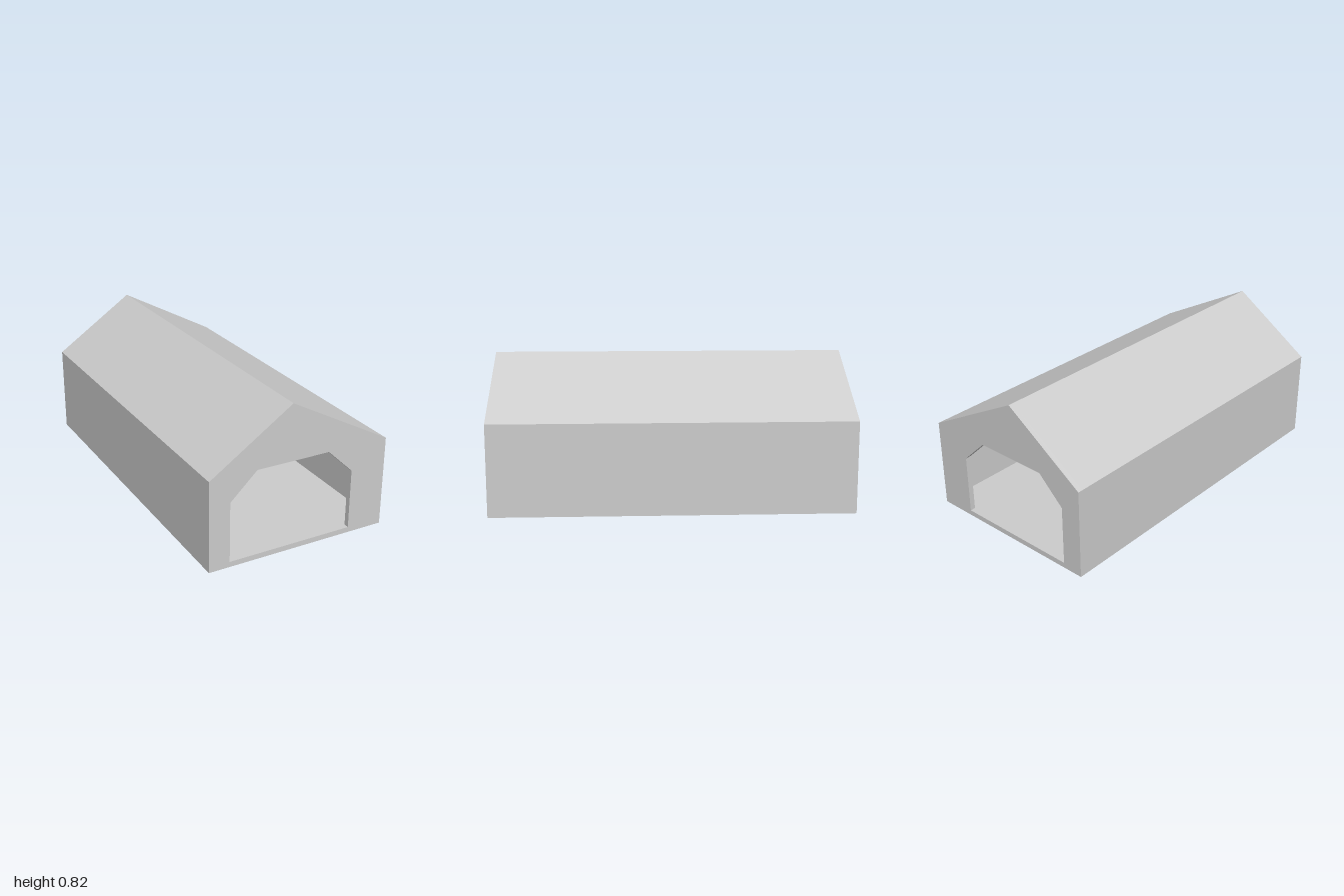
import * as THREE from 'three';

const WALL = 0.03; // thickness of walls, floor and roof
const LENGTH = 2;

// Outer cross-section of the building, with an off-centre ridge
const OUTLINE = [[-0.523, 0], [0.523, 0], [0.523, 0.51], [-0.06, 0.825], [-0.523, 0.51]];
// Hollow interior, one wall thickness inside the outline
const INTERIOR = [
  [-0.493, WALL], [0.493, WALL], [0.493, 0.495], [-0.06, 0.792], [-0.493, 0.497],
];
// Doorway with chamfered upper corners
const DOORWAY = [
  [-0.405, WALL], [0.315, WALL], [0.315, 0.367], [0.165, 0.51], [-0.255, 0.51], [-0.405, 0.367],
];

const toPoints = (list) => list.map(([x, y]) => new THREE.Vector2(x, y));

// Extrudes the outline, pierced by a hole, along z
function section(name, hole, depth, z, material) {
  const shape = new THREE.Shape(toPoints(OUTLINE));
  shape.holes.push(new THREE.Path(toPoints(hole)));
  const geometry = new THREE.ExtrudeGeometry(shape, { depth, bevelEnabled: false });
  const mesh = new THREE.Mesh(geometry, material);
  mesh.name = name;
  mesh.position.z = z;
  return mesh;
}

export function createModel() {
  const group = new THREE.Group();
  group.name = 'gabledShed';
  const material = new THREE.MeshStandardMaterial({ color: 0xcccccc, flatShading: true });
  const half = LENGTH / 2;

  // Floor, side walls and roof as one hollow tube
  group.add(section('shell', INTERIOR, LENGTH - 2 * WALL, -half + WALL, material));

  // Thin end walls, each with the same doorway
  group.add(section('frontGableWall', DOORWAY, WALL, half - WALL, material));
  group.add(section('backGableWall', DOORWAY, WALL, -half, material));

  return group;
}
